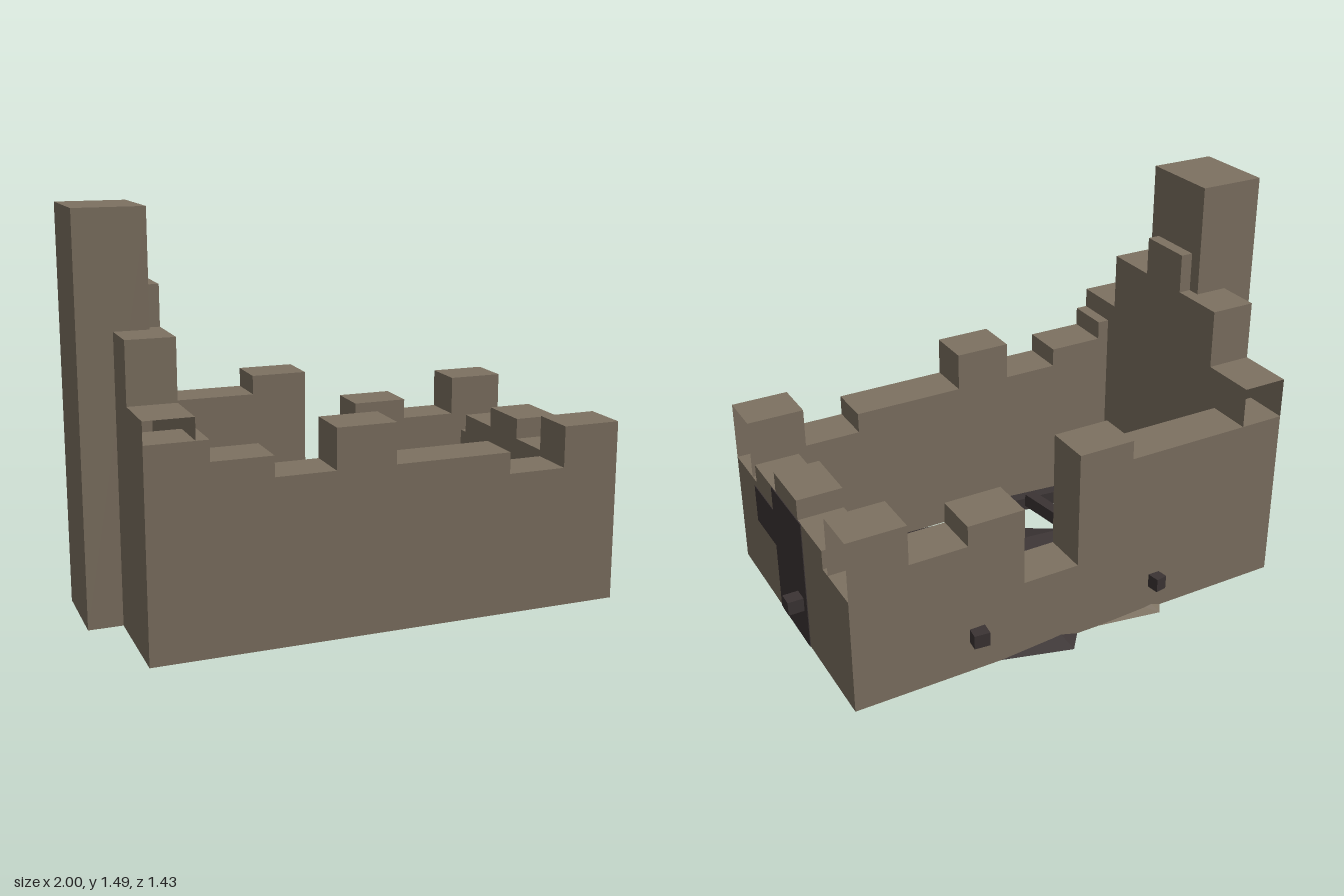
import * as THREE from 'three';

const stone = new THREE.MeshStandardMaterial({ color: 0x7d7161, side: THREE.DoubleSide });
stone.name = 'weathered stone';
const charred = new THREE.MeshStandardMaterial({ color: 0x3b3434, side: THREE.DoubleSide });
charred.name = 'charred wood';

const U = 0.887, V = 0.549, T = 0.175; // half length, half width, wall thickness

function add(parent, name, geometry, material) {
  const mesh = new THREE.Mesh(geometry, material);
  mesh.name = name;
  parent.add(mesh);
  return mesh;
}

function fromTriangles(points) {
  const g = new THREE.BufferGeometry();
  g.setAttribute('position', new THREE.Float32BufferAttribute(points.flat(), 3));
  g.computeVertexNormals();
  return g;
}

// Broken hollow wall along x with equal segments of given heights; ends and underside stay open
function wallGeometry(length, heights) {
  const tris = [], t = T / 2, step = length / heights.length;
  const quad = (a, b, c, d) => tris.push(a, b, c, a, c, d);
  heights.forEach((h, i) => {
    const a = -length / 2 + i * step, b = a + step;
    quad([a, 0, t], [b, 0, t], [b, h, t], [a, h, t]);
    quad([b, 0, -t], [a, 0, -t], [a, h, -t], [b, h, -t]);
    quad([a, h, t], [b, h, t], [b, h, -t], [a, h, -t]);
    const next = heights[i + 1];
    if (next !== undefined && next !== h) {
      quad([b, next, t], [b, next, -t], [b, h, -t], [b, h, t]);
    }
  });
  return fromTriangles(tris);
}

// Faceted heap: ground outline, a shoulder ring, a peak and a slightly hollow underside
function heapGeometry([px, pz], height, hollow, outline) {
  const tris = [], n = outline.length;
  const shoulder = outline.map(([x, z], i) => {
    const k = 0.58 + 0.06 * Math.sin(i * 2.3);
    return [px + (x - px) * k, height * (0.42 + 0.04 * Math.cos(i * 1.7)), pz + (z - pz) * k];
  });
  for (let i = 0; i < n; i++) {
    const j = (i + 1) % n;
    const a = [outline[i][0], 0, outline[i][1]], b = [outline[j][0], 0, outline[j][1]];
    tris.push(a, b, shoulder[i], b, shoulder[j], shoulder[i]);
    tris.push(shoulder[i], shoulder[j], [px, height, pz]);
    tris.push(b, a, [px, hollow, pz]);
  }
  return fromTriangles(tris);
}

function beam(parent, name, from, to, width) {
  const a = new THREE.Vector3(...from), b = new THREE.Vector3(...to);
  const mesh = add(parent, name, new THREE.BoxGeometry(width, 0.055, a.distanceTo(b)), charred);
  mesh.position.copy(a).add(b).multiplyScalar(0.5);
  mesh.lookAt(b);
}

export function createModel() {
  const model = new THREE.Group();
  model.name = 'ruinedHouse';

  // The house stands at an angle
  const house = new THREE.Group();
  house.name = 'house';
  house.position.x = 0.022;
  house.rotation.y = -0.203;
  model.add(house);

  // Long walls, segment heights from left to right
  add(house, 'frontWall', wallGeometry(2 * U, [0.76, 0.685, 0.61, 0.76, 0.61, 0.61, 0.53, 0.685]), stone)
    .position.z = V - T / 2;
  add(house, 'backWall', wallGeometry(2 * U, [0.685, 0.685, 0.685, 0.76, 0.305, 0.61, 0.53, 0.685]), stone)
    .position.z = -V + T / 2;

  // End walls, segment heights from back to front
  const gable = add(house, 'gableWall', wallGeometry(2 * V, [0.84, 1.065, 1.215, 1.065, 0.84]), stone);
  gable.position.x = -U + T / 2;
  const doorWall = add(house, 'doorWall', wallGeometry(2 * V, [0.455, 0.53, 0.61, 0.53, 0.455]), stone);
  doorWall.position.x = U - T / 2;
  gable.rotation.y = doorWall.rotation.y = -Math.PI / 2;

  // Chimney
  add(house, 'chimney', new THREE.BoxGeometry(0.255, 1.487, 0.315), stone).position.set(-0.887, 0.7435, -0.002);

  // Burnt doorway and the scorched patch beside it
  add(house, 'doorway', new THREE.BoxGeometry(0.006, 0.53, 0.291), charred).position.set(U, 0.265, 0.005);
  add(house, 'scorchedPatch', new THREE.BoxGeometry(0.006, 0.155, 0.2), charred).position.set(U, 0.3525, 0.25);

  // Rubble heaps
  add(model, 'ashHeap', heapGeometry([0.17, -0.05], 0.14, 0.008, [
    [-0.31, 0.02], [-0.12, 0.2], [0.05, 0.38], [0.18, 0.42], [0.36, 0.43], [0.65, 0.33],
    [0.69, 0.1], [0.68, -0.2], [0.45, -0.47], [0.2, -0.6], [0.02, -0.45], [-0.15, -0.2],
  ]), charred);
  add(model, 'leftRubble', heapGeometry([-0.19, -0.29], 0.11, 0.02, [
    [-0.46, -0.32], [-0.44, -0.09], [-0.3, -0.02], [-0.1, -0.02],
    [0.06, -0.25], [0.03, -0.56], [-0.2, -0.65], [-0.38, -0.48],
  ]), stone);
  add(model, 'rightRubble', heapGeometry([0.55, -0.18], 0.17, 0.02, [
    [0.74, -0.22], [0.72, -0.02], [0.59, 0.02], [0.42, -0.03],
    [0.34, -0.22], [0.43, -0.4], [0.58, -0.43], [0.71, -0.36],
  ].reverse()), stone);

  // Fallen roof beams
  beam(model, 'backBeam', [-0.2, 0.13, -0.65], [-0.22, 0.14, 0.12], 0.045);
  beam(model, 'middleBeam', [-0.145, 0.11, -0.255], [0.265, 0.15, -0.17], 0.055);
  beam(model, 'frontBeam', [-0.57, 0.06, 0.12], [0.01, 0.1, 0.24], 0.045);
  beam(model, 'crossBeam', [0.55, 0.155, -0.5], [0.35, 0.16, 0.14], 0.06);
  beam(model, 'doorBeam', [0.27, 0.175, -0.04], [0.97, 0.17, 0.11], 0.055);

  // Post leaning in the rubble
  const post = add(model, 'post', new THREE.BoxGeometry(0.05, 0.14, 0.055), charred);
  post.position.set(-0.31, 0.08, -0.285);
  post.rotation.set(0, -0.2, 0.1);
  return model;
}
